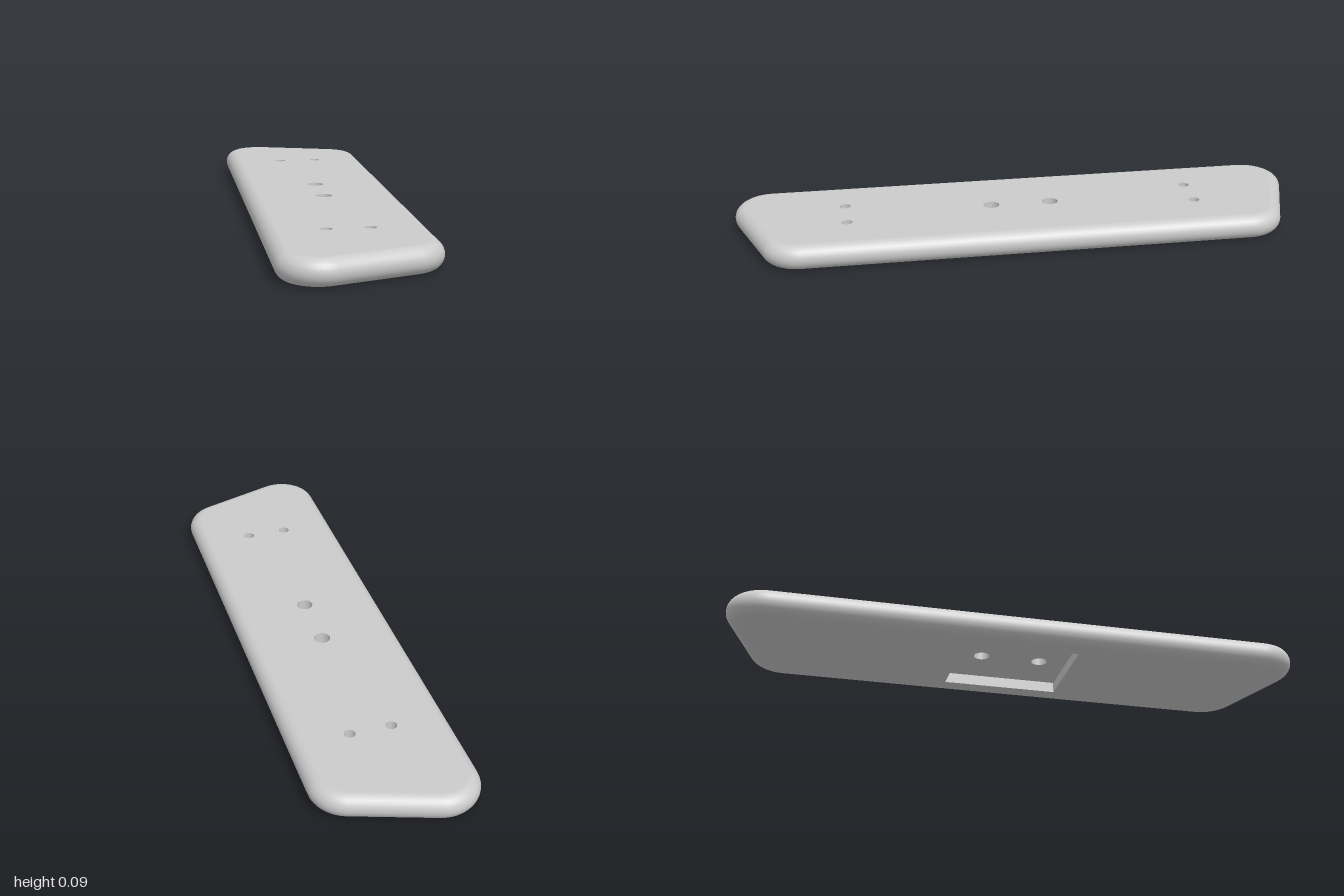
import * as THREE from 'three';

const T = 0.088;            // plate thickness
const EDGE = T / 2;         // radius of the fully rounded rim
const CORNER = 0.13;        // corner radius in plan
const FLOOR = 0.037;        // height of the pocket floor above the underside
const PW = 0.34, PL = 0.405; // pocket width and length
const BLIND = 0.05;         // depth of the small holes

const bolts = [-0.105, 0.105].map(z => ({ x: 0, z, r: 0.028 }));
const pins = [];
for (const x of [-0.07, 0.07]) for (const z of [-0.615, 0.615]) pins.push({ x, z, r: 0.019 });

// Plan outline: points of the inset core with their outward normals, counter-clockwise
function outline() {
  const X = 0.133, zL = 0.87, zR = 0.78;
  const slant = Math.atan2(2 * X, zL - zR);
  const corners = [
    [-X, -zL, -Math.PI, -slant], [X, -zR, -slant, 0],
    [X, zR, 0, slant], [-X, zL, slant, Math.PI],
  ];
  const pts = [], n = 12;
  for (const [cx, cy, a0, a1] of corners) {
    for (let i = 0; i <= n; i++) {
      const a = a0 + (a1 - a0) * i / n, nx = Math.cos(a), ny = Math.sin(a);
      pts.push({ x: cx + nx * (CORNER - EDGE), y: cy + ny * (CORNER - EDGE), nx, ny });
    }
  }
  return pts;
}

// Half-round rim swept around the outline
function rimGeometry(pts) {
  const pos = [], nor = [], idx = [], m = 14, n = pts.length;
  for (let j = 0; j <= m; j++) {
    const t = -Math.PI / 2 + Math.PI * j / m, c = Math.cos(t), s = Math.sin(t);
    for (const p of pts) {
      pos.push(p.x + p.nx * c * EDGE, EDGE + s * EDGE, -(p.y + p.ny * c * EDGE));
      nor.push(p.nx * c, s, -p.ny * c);
    }
  }
  for (let j = 0; j < m; j++) for (let i = 0; i < n; i++) {
    const a = j * n + i, b = j * n + (i + 1) % n;
    idx.push(a, b, a + n, b, b + n, a + n);
  }
  const g = new THREE.BufferGeometry();
  g.setAttribute('position', new THREE.Float32BufferAttribute(pos, 3));
  g.setAttribute('normal', new THREE.Float32BufferAttribute(nor, 3));
  g.setIndex(idx);
  return g;
}

const polygon = pts => new THREE.Shape(pts.map(p => new THREE.Vector2(p.x, p.y)));
const rectangle = (w, l) => polygon([
  { x: -w / 2, y: -l / 2 }, { x: w / 2, y: -l / 2 }, { x: w / 2, y: l / 2 }, { x: -w / 2, y: l / 2 },
]);

function withHoles(shape, holes) {
  for (const h of holes) shape.holes.push(new THREE.Path().absarc(h.x, -h.z, h.r, 0, Math.PI * 2, true));
  return shape;
}

export function createModel() {
  const model = new THREE.Group();
  const mat = new THREE.MeshStandardMaterial({ color: 0xcccccc });
  const inner = new THREE.MeshStandardMaterial({ color: 0xcccccc, side: THREE.DoubleSide });
  const add = (name, geo, material = mat) => {
    const mesh = new THREE.Mesh(geo, material);
    mesh.name = name;
    model.add(mesh);
    return mesh;
  };
  // Flat faces looking up (1) or down (-1) at a given height
  const face = (name, shape, y, dir) =>
    add(name, new THREE.ShapeGeometry(shape, 12).rotateX(-dir * Math.PI / 2).translate(0, y, 0));

  const pts = outline();
  add('roundedRim', rimGeometry(pts));
  face('topFace', withHoles(polygon(pts), [...bolts, ...pins]), T, 1);

  // Underside with a rectangular pocket
  const under = polygon(pts);
  under.holes.push(rectangle(PW, PL));
  face('underside', under, 0, -1);
  face('pocketFloor', withHoles(rectangle(PW, PL), bolts), FLOOR, -1);
  for (let i = 0; i < 4; i++) {
    const [w, d] = i % 2 ? [PL, PW] : [PW, PL];
    const wall = add('pocketWall', new THREE.PlaneGeometry(w, FLOOR).translate(0, FLOOR / 2, -d / 2));
    wall.rotation.y = i * Math.PI / 2;
  }

  // Hole walls: bolts run through to the pocket, pins stop inside the plate
  const bore = (name, h, y0) => add(name,
    new THREE.CylinderGeometry(h.r, h.r, T - y0, 24, 1, true).translate(h.x, (T + y0) / 2, h.z), inner);
  for (const h of bolts) bore('boltHole', h, FLOOR);
  for (const h of pins) {
    bore('pinHole', h, T - BLIND);
    add('pinHoleBottom', new THREE.CircleGeometry(h.r, 24).rotateX(-Math.PI / 2).translate(h.x, T - BLIND, h.z));
  }
  return model;
}
